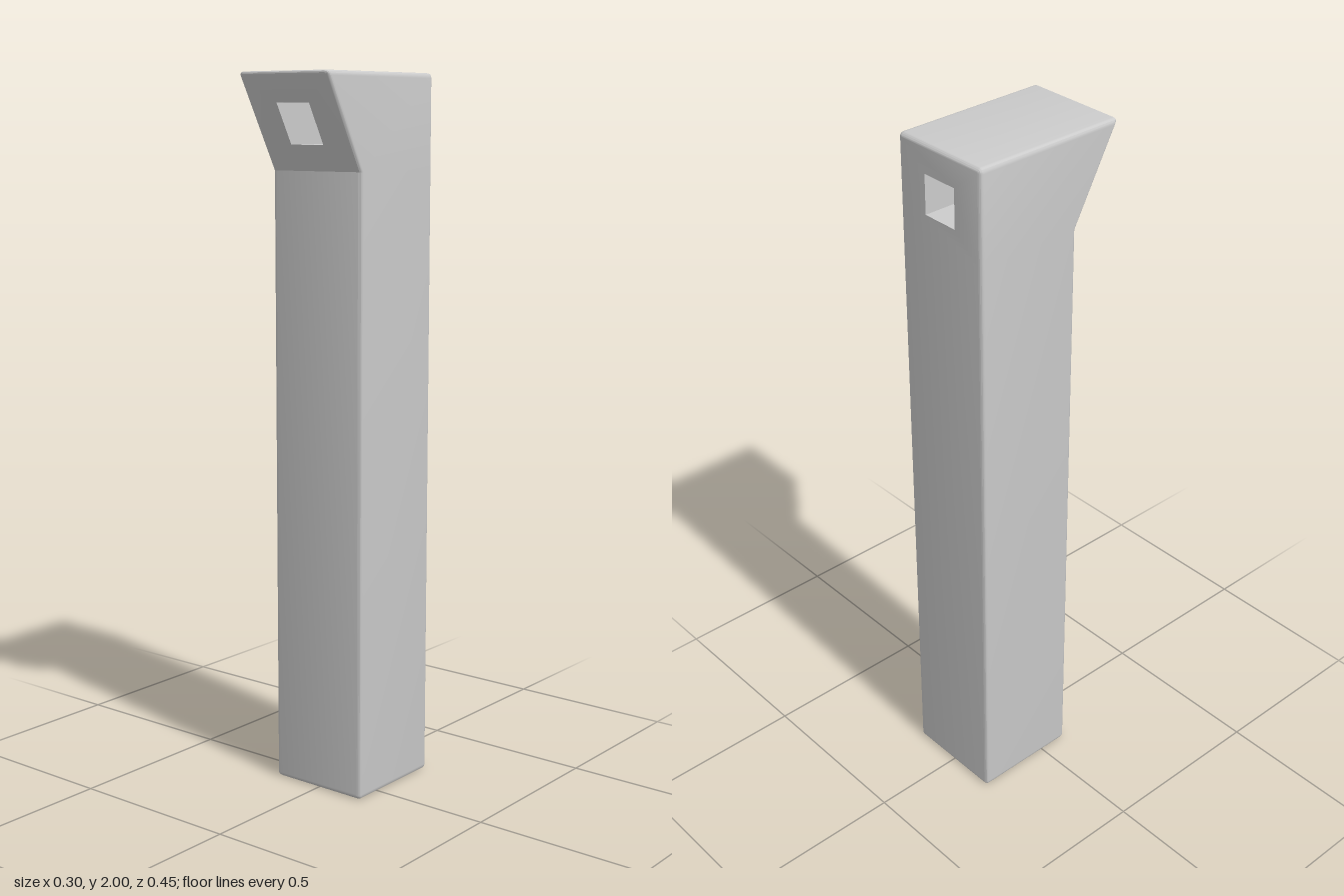
import * as THREE from 'three';
import { mergeGeometries, toCreasedNormals } from 'three/addons/utils/BufferGeometryUtils.js';

const HALF = 0.152, BACK = -0.229, FRONT = 0.088, TIP = 0.229;
const SEAM = 1.74, TOP = 2, BEVEL = 0.011, CORNER = 0.014;
const HOLE = { y: 1.865, half: 0.055 };

// Front outline with rounded corners at the free end and square ones at the seam
function outline(seamY, endY) {
  const d = Math.sign(endY - seamY) * CORNER;
  const s = new THREE.Shape();
  s.moveTo(-HALF, seamY);
  s.lineTo(HALF, seamY);
  s.lineTo(HALF, endY - d);
  s.quadraticCurveTo(HALF, endY, HALF - CORNER, endY);
  s.lineTo(-HALF + CORNER, endY);
  s.quadraticCurveTo(-HALF, endY, -HALF, endY - d);
  s.closePath();
  return s;
}

// Soft-edged block that stays open and sharp where it meets the seam
function block(shape) {
  const geo = new THREE.ExtrudeGeometry(shape, {
    depth: FRONT - BACK - 2 * BEVEL, curveSegments: 4,
    bevelThickness: BEVEL, bevelSize: BEVEL, bevelOffset: -BEVEL, bevelSegments: 4,
  });
  geo.translate(0, 0, BACK + BEVEL);
  const p = geo.attributes.position;
  for (let i = 0; i < p.count; i++) {
    let x = p.getX(i), y = p.getY(i), z = p.getZ(i);
    // Keep the hole's edges square
    if (Math.abs(x) < 0.09 && Math.abs(y - HOLE.y) < 0.09) {
      x = Math.sign(x) * HOLE.half;
      y = HOLE.y + Math.sign(y - HOLE.y) * HOLE.half;
    }
    if (Math.abs(y - SEAM) < 0.02) y = SEAM;
    // Lean the front of the head outwards
    if (z > 0 && y > SEAM) z += (y - SEAM) * (TIP - FRONT) / (TOP - SEAM);
    p.setXYZ(i, x, y, z);
  }
  // Drop the walls hidden inside the seam
  const kept = [];
  for (let i = 0; i < p.count; i += 3) {
    const onSeam = [0, 1, 2].every(k => Math.abs(p.getY(i + k) - SEAM) < 1e-4);
    if (!onSeam) for (let k = 0; k < 3; k++) kept.push(p.getX(i + k), p.getY(i + k), p.getZ(i + k));
  }
  const out = new THREE.BufferGeometry();
  out.setAttribute('position', new THREE.Float32BufferAttribute(kept, 3));
  return out;
}

export function createModel() {
  const group = new THREE.Group();
  group.name = 'post';

  const shaft = block(outline(SEAM, 0));

  // Overhanging head with a square through hole
  const headShape = outline(SEAM, TOP);
  const { y, half: h } = HOLE;
  headShape.holes.push(new THREE.Path([
    new THREE.Vector2(-h, y - h), new THREE.Vector2(-h, y + h),
    new THREE.Vector2(h, y + h), new THREE.Vector2(h, y - h),
  ]));
  const head = block(headShape);

  const body = new THREE.Mesh(
    toCreasedNormals(mergeGeometries([shaft, head]), 0.45),
    new THREE.MeshStandardMaterial({ color: 0xcccccc }),
  );
  body.name = 'postBody';
  group.add(body);
  return group;
}
